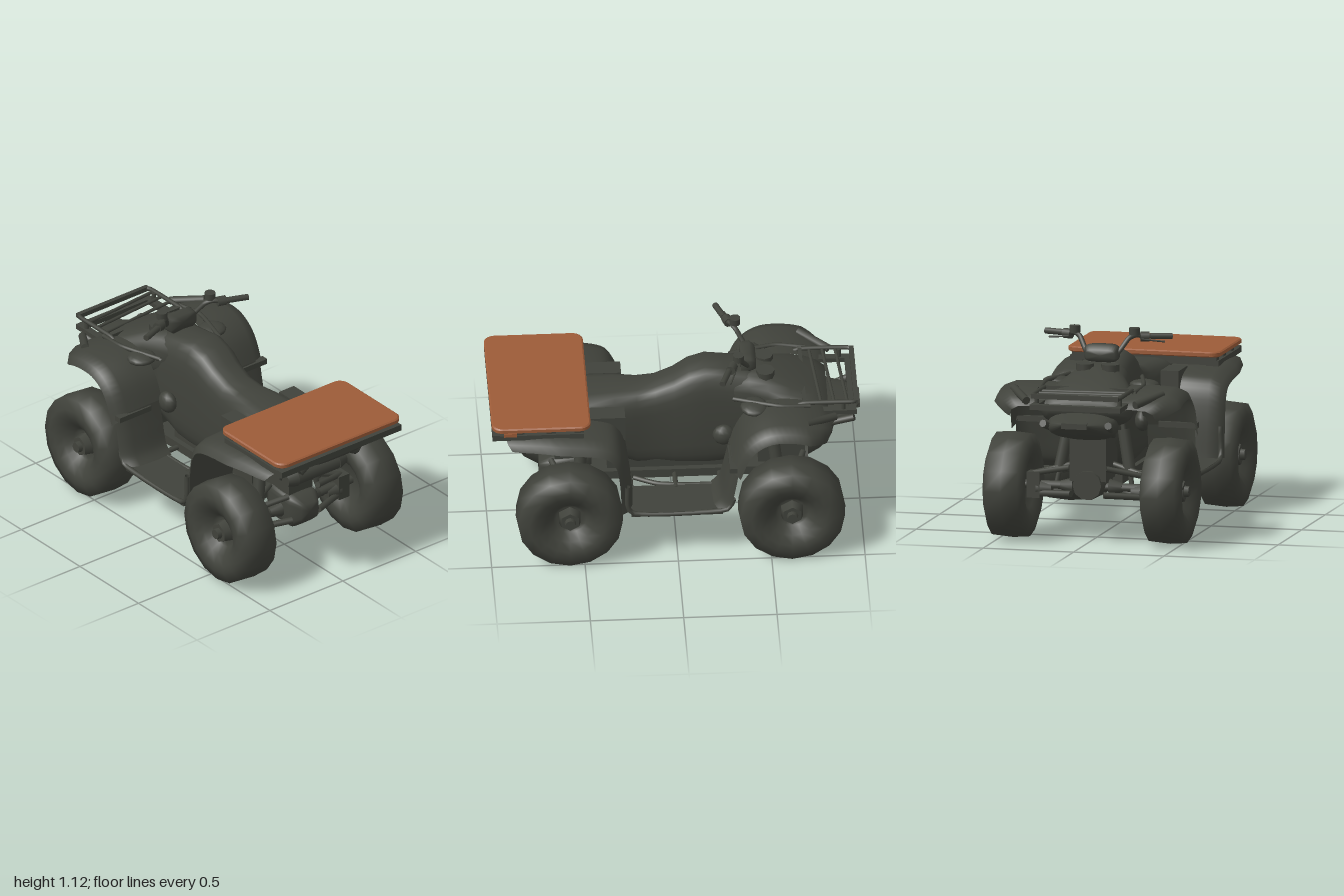
import * as THREE from 'three';

const dark = new THREE.MeshStandardMaterial({ color: 0x40423b, side: THREE.DoubleSide });
dark.name = 'charcoal';
const brown = new THREE.MeshStandardMaterial({ color: 0x9c5b38 });
brown.name = 'brown';

const V = (x, y, z) => new THREE.Vector3(x, y, z);

export function createModel() {
  const model = new THREE.Group();
  const add = (name, geo, pos = [0, 0, 0], rot = [0, 0, 0], mat = dark, parent = model) => {
    const m = new THREE.Mesh(geo, mat);
    m.name = name;
    m.position.set(...pos);
    m.rotation.set(...rot);
    parent.add(m);
    return m;
  };
  const box = (name, x0, x1, y0, y1, z0, z1, mat) =>
    add(name, new THREE.BoxGeometry(x1 - x0, y1 - y0, Math.abs(z1 - z0)),
      [(x0 + x1) / 2, (y0 + y1) / 2, (z0 + z1) / 2], [0, 0, 0], mat);
  const tube = (name, pts, r, tension = 0.3) => {
    const c = new THREE.CatmullRomCurve3(pts.map(p => V(...p)), false, 'catmullrom', tension);
    return add(name, new THREE.TubeGeometry(c, pts.length * 5, r, 8));
  };
  const rod = (name, a, b, r, r2 = r, seg = 10) => {
    const p = V(...a), d = V(...b).sub(p);
    const m = add(name, new THREE.CylinderGeometry(r2, r, d.length(), seg));
    m.position.copy(p).addScaledVector(d, 0.5);
    m.quaternion.setFromUnitVectors(V(0, 1, 0), d.normalize());
    return m;
  };
  // Surface through rows of points
  const loft = rows => {
    const n = rows[0].length, idx = [];
    for (let i = 0; i < rows.length - 1; i++)
      for (let j = 0; j < n - 1; j++) {
        const a = i * n + j, b = a + n;
        idx.push(a, b, a + 1, b, b + 1, a + 1);
      }
    const g = new THREE.BufferGeometry();
    g.setAttribute('position', new THREE.Float32BufferAttribute(rows.flat(2), 3));
    g.setIndex(idx);
    g.computeVertexNormals();
    return g;
  };
  // Rounded hull from sections of x, bottom, top, half width
  const hull = (name, secs, power = 0.75) => {
    const ring = ([x, y0, y1, w], k) => Array.from({ length: 25 }, (_, i) => {
      const t = -i / 24 * Math.PI * 2, c = Math.cos(t), s = Math.sin(t);
      const f = v => Math.sign(v) * Math.abs(v) ** power * k;
      return [x, (y0 + y1) / 2 - f(c) * (y1 - y0) / 2, f(s) * w];
    });
    return add(name, loft([ring(secs[0], 0), ...secs.map(s => ring(s, 1)), ring(secs.at(-1), 0)]));
  };

  // Seat, tank and front cowl
  hull('bodyAndSeat', [
    [-0.5, 0.5, 0.92, 0.15], [-0.38, 0.4, 0.945, 0.155], [-0.27, 0.34, 0.965, 0.15],
    [-0.17, 0.33, 0.978, 0.15], [-0.08, 0.33, 0.95, 0.145], [0, 0.33, 0.895, 0.135],
    [0.1, 0.34, 0.85, 0.13], [0.2, 0.35, 0.835, 0.14], [0.32, 0.42, 0.835, 0.165],
    [0.47, 0.5, 0.825, 0.175], [0.62, 0.56, 0.815, 0.16]], 0.6);
  hull('frontCowl', [
    [-0.82, 0.7, 0.79, 0.2], [-0.74, 0.64, 0.84, 0.25], [-0.62, 0.62, 0.885, 0.24],
    [-0.5, 0.62, 0.93, 0.18], [-0.4, 0.66, 0.94, 0.16], [-0.3, 0.72, 0.92, 0.14]]);
  box('skidPlate', -0.5, 0.45, 0.3, 0.35, -0.14, 0.14);
  box('engine', -0.3, 0.36, 0.34, 0.6, -0.11, 0.11);

  // Wheels, turned from one profile
  const profile = [[0.001, -0.04], [0.09, -0.04], [0.13, -0.085], [0.18, -0.11], [0.22, -0.114], [0.28, -0.092],
    [0.288, 0], [0.28, 0.092], [0.22, 0.114], [0.18, 0.11], [0.13, 0.085], [0.09, 0.045], [0.07, 0.03], [0.001, 0.03]];
  const tire = new THREE.LatheGeometry(profile.map(p => new THREE.Vector2(...p)), 16);
  for (const [end, x] of [['front', -0.61], ['rear', 0.58]])
    for (const s of [1, -1]) {
      const wheel = new THREE.Group();
      wheel.name = end + 'Wheel';
      wheel.position.set(x, end === 'front' ? 0.294 : 0.3, s * 0.434);
      wheel.rotation.x = s * Math.PI / 2;
      add('tire', tire, [0, 0, 0], [0, 0, 0], dark, wheel);
      add('hub', new THREE.CylinderGeometry(0.055, 0.068, 0.05, 6), [0, 0.055, 0], [0, 0, 0], dark, wheel);
      add('hubCap', new THREE.CylinderGeometry(0.028, 0.032, 0.03, 8), [0, 0.09, 0], [0, 0, 0], dark, wheel);
      model.add(wheel);
      // Suspension and axles
      const d = end === 'front' ? 1 : -1;
      rod(end + 'Axle', [x, 0.3, s * 0.05], [x, 0.3, s * 0.4], 0.022);
      rod(end + 'AxleBoot', [x, 0.3, s * 0.1], [x, 0.3, s * 0.17], 0.045, 0.025);
      rod(end + 'OuterBoot', [x, 0.28, s * 0.22], [x, 0.28, s * 0.3], 0.03, 0.045);
      for (const dx of [-0.1, 0.1]) {
        rod('lowerArm', [x + dx, 0.27, s * 0.09], [x, 0.25, s * 0.33], 0.018);
        rod('upperArm', [x + dx * 0.8, 0.41, s * 0.1], [x, 0.36, s * 0.32], 0.016);
      }
      box('hubCarrier', x - 0.04, x + 0.04, 0.23, 0.37, s * 0.28, s * 0.35);
      rod('shock', [x + d * 0.05, 0.29, s * 0.21], [x + d * 0.1, 0.66, s * 0.14], 0.014);
      rod('shockSpring', [x + d * 0.06, 0.36, s * 0.197], [x + d * 0.09, 0.6, s * 0.152], 0.034);
    }
  hull('rearDifferential', [[0.44, 0.25, 0.4, 0.07], [0.5, 0.21, 0.42, 0.1], [0.66, 0.21, 0.4, 0.1],
    [0.72, 0.26, 0.36, 0.06]], 0.45);
  rod('frontDifferential', [-0.72, 0.32, 0], [-0.46, 0.32, 0], 0.08, 0.09);
  box('rearFrame', 0.4, 0.64, 0.4, 0.6, -0.08, 0.08);
  box('frontFrame', -0.7, -0.45, 0.34, 0.68, -0.1, 0.1);

  // Fenders: a path swept across z, with the outer lip turned toward the wheel
  const fender = (name, path, cx, s, inner, outer, lip, taper = () => 0) => {
    const pts = new THREE.SplineCurve(path.map(p => new THREE.Vector2(...p))).getPoints(24);
    const cross = [[0, 0], [0.35, -0.006], [0.75, 0], [0.93, lip * 0.35], [1, lip]];
    add(name, loft(pts.map((p, i) => {
      const dir = new THREE.Vector2(cx, 0.3).sub(p).normalize();
      const width = outer - inner - taper(i / 24);
      return cross.map(([t, d]) => [p.x + dir.x * d, p.y + dir.y * d, s * (inner + width * t)]);
    })));
  };
  for (const s of [1, -1]) {
    fender('frontFender', [[-0.83, 0.755], [-0.77, 0.8], [-0.64, 0.84], [-0.48, 0.835], [-0.36, 0.75],
      [-0.285, 0.59]], -0.61, s, 0.2, 0.515, 0.065, t => 0.11 * Math.max(0, 1 - t * 3.5));
    fender('footwellPanel', [[-0.29, 0.62], [-0.265, 0.5], [-0.235, 0.38], [-0.19, 0.325]],
      -0.61, s, 0.22, 0.495, 0.05);
    fender('rearFender', [[0.24, 0.33], [0.265, 0.56], [0.31, 0.71], [0.42, 0.77], [0.7, 0.795], [0.92, 0.785]],
      0.58, s, 0.15, 0.495, 0.06, t => 0.05 * Math.max(0, t * 4 - 3));
    box('fenderLip', -0.315, -0.275, 0.585, 0.615, s * 0.29, s * 0.505);
    // Footwell
    box('footboard', -0.24, 0.25, 0.305, 0.33, s * 0.25, s * 0.49);
    tube('footboardRail', [[-0.3, 0.4, s * 0.48], [-0.24, 0.325, s * 0.485], [0.24, 0.325, s * 0.485],
      [0.27, 0.5, s * 0.48]], 0.014);
    tube('footboardInnerRail', [[-0.22, 0.32, s * 0.24], [-0.05, 0.32, s * 0.24], [0.1, 0.32, s * 0.22],
      [0.22, 0.32, s * 0.16]], 0.013);
    for (const x of [-0.24, 0, 0.24]) rod('footboardBrace', [x, 0.32, s * 0.1], [x, 0.32, s * 0.27], 0.014);
    const knob = add('sideKnob', new THREE.SphereGeometry(0.06, 12, 8), [-0.26, 0.61, s * 0.19]);
    knob.scale.z = 0.7;
    box('sideCover', 0.27, 0.46, 0.64, 0.79, s * 0.15, s * 0.25);
    hull('rearSidePod', [[0.3, 0.5, 0.6, 0.04], [0.4, 0.5, 0.66, 0.05], [0.55, 0.53, 0.68, 0.045]])
      .position.z = s * 0.18;
    const pod = add('cowlPod', new THREE.SphereGeometry(0.075, 12, 8), [-0.42, 0.83, s * 0.24]);
    pod.scale.set(1, 0.4, 1.1);
    rod('gaugeCap', [-0.49, 0.9, s * 0.07], [-0.49, 0.945, s * 0.07], 0.05, 0.05, 8);
    // Front guards and rack
    rod('fenderGuard', [-0.85, 0.79, s * 0.3], [-0.69, 0.83, s * 0.41], 0.022);
    tube('fenderTrim', [[-0.72, 0.835, s * 0.26], [-0.55, 0.85, s * 0.27], [-0.31, 0.855, s * 0.2]], 0.012);
    tube('frontRackSide', [[-0.97, 0.838, s * 0.22], [-0.94, 0.84, s * 0.24], [-0.68, 0.84, s * 0.24],
      [-0.63, 0.79, s * 0.23]], 0.012);
    box('lowerRackSide', -0.96, -0.7, 0.765, 0.79, s * 0.21, s * 0.25);
    rod('rackPost', [-0.9, 0.78, s * 0.23], [-0.9, 0.84, s * 0.23], 0.012);
    rod('bumperStrut', [-0.96, 0.69, s * 0.18], [-0.7, 0.6, s * 0.14], 0.02);
    // Handlebar half
    tube('handlebar', [[-0.41, 0.97, s * 0.07], [-0.38, 1.01, s * 0.1], [-0.345, 1.065, s * 0.135],
      [-0.32, 1.08, s * 0.17], [-0.29, 1.072, s * 0.22], [-0.25, 1.07, s * 0.34]], 0.014);
    rod('grip', [-0.285, 1.072, s * 0.24], [-0.245, 1.07, s * 0.35], 0.017);
    rod('reservoir', [-0.34, 1.085, s * 0.165], [-0.34, 1.122, s * 0.165], 0.03);
    rod('switchBox', [-0.31, 1.07, s * 0.19], [-0.295, 1.07, s * 0.235], 0.027);
    rod('brakeLever', [-0.33, 1.06, s * 0.2], [-0.29, 1.045, s * 0.32], 0.005);
    // Rear details
    rod('rearLamp', [0.86, 0.7, s * 0.2], [0.86, 0.77, s * 0.1], 0.04);
    box('rackRail', 0.5, 0.98, 0.785, 0.815, s * 0.34, s * 0.41);
    rod('rearStrut', [0.6, 0.5, s * 0.1], [0.84, 0.74, s * 0.17], 0.016);
  }

  // Handlebar centre pod
  hull('handlebarPod', [[-0.44, 0.95, 1.01, 0.08], [-0.41, 0.94, 1.04, 0.095], [-0.36, 0.94, 1.035, 0.09]], 0.5);

  // Front rack bars, nose and bumper
  box('rackFrontBar', -0.98, -0.955, 0.825, 0.85, -0.24, 0.24);
  box('rackRearBar', -0.7, -0.68, 0.828, 0.85, -0.24, 0.24);
  for (const x of [-0.9, -0.83, -0.76]) rod('rackSlat', [x - 0.02, 0.835, -0.24], [x + 0.02, 0.835, 0.24], 0.009);
  box('lowerRackBar', -0.97, -0.93, 0.762, 0.79, -0.25, 0.25);
  box('winchPlate', -0.998, -0.96, 0.67, 0.7, -0.07, 0.07);
  hull('noseBumper', [[-0.99, 0.68, 0.7, 0.07], [-0.92, 0.62, 0.71, 0.16], [-0.82, 0.59, 0.73, 0.19],
    [-0.73, 0.57, 0.74, 0.18]]);

  // Rear rack, tail and exhaust
  for (const x of [0.5, 0.65, 0.82]) box('rackCrossBar', x, x + 0.05, 0.79, 0.84, -0.4, 0.4);
  box('rackEndBar', 0.95, 0.99, 0.785, 0.82, -0.41, 0.41);
  hull('tail', [[0.56, 0.6, 0.8, 0.16], [0.75, 0.66, 0.79, 0.18], [0.9, 0.72, 0.79, 0.2], [0.97, 0.76, 0.79, 0.16]]);
  rod('muffler', [0.76, 0.59, -0.15], [0.76, 0.59, 0.15], 0.045, 0.045, 14);
  for (const s of [1, -1]) rod('mufflerCap', [0.76, 0.59, s * 0.14], [0.76, 0.59, s * 0.2], 0.05, 0.032, 14);

  // Cargo board with rounded corners
  const board = (hx, hz, r) => {
    const sh = new THREE.Shape();
    [[hx - r, hz - r, 0], [r - hx, hz - r, 1], [r - hx, r - hz, 2], [hx - r, r - hz, 3]]
      .forEach(([x, y, q]) => sh.absarc(x, y, r, q * Math.PI / 2, (q + 1) * Math.PI / 2, false));
    return sh;
  };
  add('cargoBoard', new THREE.ExtrudeGeometry(board(0.257, 0.414, 0.05),
    { depth: 0.018, bevelThickness: 0.006, bevelSize: 0.008, bevelSegments: 1, curveSegments: 5 }),
    [0.728, 0.842, 0], [-Math.PI / 2, 0, 0], brown);
  box('boardClip', 0.86, 0.93, 0.818, 0.84, -0.425, -0.405, brown);
  return model;
}
